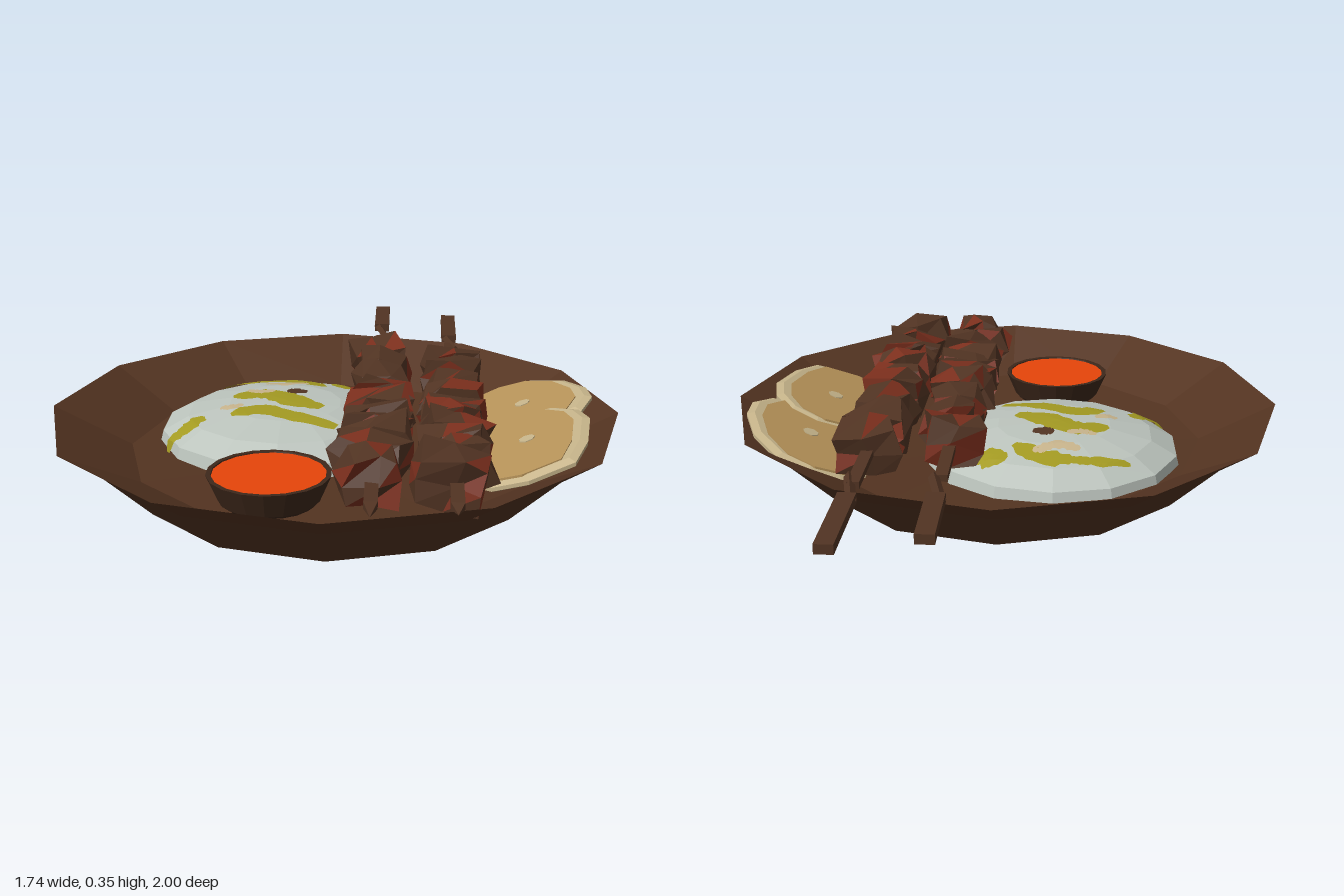
import * as THREE from 'three';

const mat = (name, color, extra = {}) =>
  Object.assign(new THREE.MeshStandardMaterial({ color, flatShading: true, ...extra }), { name });

// small seeded random
function makeRandom(seed) {
  return () => {
    seed = (seed * 16807) % 2147483647;
    return seed / 2147483647;
  };
}

export function createModel() {
  const M = {
    dish: mat('dish brown', 0x543421),
    cup: mat('cup dark brown', 0x3e281b),
    sauce: mat('sauce orange', 0xff4d0c),
    rice: mat('rice white', 0xbcc4bd),
    herb: mat('herb olive', 0xa39a22, { side: THREE.DoubleSide }),
    tan: mat('toasted tan', 0xc8b48c, { side: THREE.DoubleSide }),
    bread: mat('bread tan', 0xb8945a),
    crust: mat('crust cream', 0xc6b48a),
    meat: mat('meat brown', 0x523423, { side: THREE.DoubleSide }),
    glaze: mat('glaze red', 0x7c2f1d),
  };
  const root = new THREE.Group();
  root.name = 'plateOfSkewers';
  const add = (parent, name, geometry, material, x = 0, y = 0, z = 0) => {
    const mesh = new THREE.Mesh(geometry, material);
    mesh.name = name;
    mesh.position.set(x, y, z);
    parent.add(mesh);
    return mesh;
  };
  const lathe = (points, sides) =>
    new THREE.LatheGeometry(points.map(([r, y]) => new THREE.Vector2(r, y)), sides);

  // twelve-sided dish, outside then inside
  add(root, 'dish', lathe([[0, 0], [0.6, 0], [0.755, 0.15], [0.87, 0.23],
    [0.63, 0.107], [0, 0.075]], 12), M.dish, 0, 0, 0.115);

  // sauce cup
  add(root, 'sauceCup', lathe([[0, 0.07], [0.09, 0.07], [0.145, 0.115], [0.177, 0.19],
    [0.163, 0.19], [0.155, 0.165]], 18), M.cup, -0.163, 0, 0.545);
  add(root, 'sauce', new THREE.CylinderGeometry(0.164, 0.155, 0.015, 18), M.sauce, -0.163, 0.179, 0.545);

  // rice mound
  const moundX = -0.16, moundZ = -0.025;
  const mound = [[0.4, 0.095], [0.39, 0.135], [0.31, 0.177], [0.18, 0.204], [0, 0.214]];
  add(root, 'mound', lathe(mound, 14), M.rice, moundX, 0, moundZ);
  const moundHeight = (x, z) => {
    const r = Math.hypot(x - moundX, z - moundZ);
    for (let i = 0; i < mound.length - 1; i++) {
      const [r0, y0] = mound[i], [r1, y1] = mound[i + 1];
      if (r <= r0 && r >= r1) return y0 + ((y1 - y0) * (r - r0)) / (r1 - r0);
    }
    return mound[0][1];
  };

  // garnish streaks: ragged ribbons laid over the mound
  const streak = (name, material, width, path, seed) => {
    const rnd = makeRandom(seed * 977 + 13);
    const curve = new THREE.CatmullRomCurve3(path.map(([x, z]) => new THREE.Vector3(x, 0, z)));
    const n = 14, across = 3, pos = [], index = [];
    for (let i = 0; i <= n; i++) {
      const t = i / n, p = curve.getPoint(t), d = curve.getTangent(t);
      const w = width * (0.35 + 0.65 * Math.sqrt(Math.sin(Math.PI * t) + 1e-6)) * (0.7 + 0.5 * rnd());
      for (let j = 0; j <= across; j++) {
        const s = (j / across - 0.5) * w;
        const x = p.x - d.z * s, z = p.z + d.x * s;
        pos.push(x, moundHeight(x, z) + 0.004, z);
        if (i < n && j < across) {
          const a = i * (across + 1) + j, b = a + across + 1;
          index.push(a, a + 1, b, a + 1, b + 1, b);
        }
      }
    }
    const g = new THREE.BufferGeometry();
    g.setAttribute('position', new THREE.Float32BufferAttribute(pos, 3));
    g.setIndex(index);
    g.computeVertexNormals();
    add(root, name, g, material);
  };
  [
    [0.05, [[-0.39, -0.27], [-0.27, -0.29], [-0.2, -0.29]]],
    [0.08, [[-0.22, -0.29], [-0.13, -0.28], [-0.04, -0.2]]],
    [0.09, [[-0.02, -0.28], [0.03, -0.26], [0.08, -0.25]]],
    [0.1, [[-0.33, -0.06], [-0.22, -0.08], [-0.13, -0.01], [-0.04, 0.04]]],
    [0.09, [[-0.32, 0.1], [-0.23, 0.07], [-0.13, 0.12], [0.01, 0.17]]],
    [0.07, [[-0.51, 0.17], [-0.45, 0.13], [-0.41, 0.08]]],
  ].forEach(([w, path], i) => streak('herbStreak', M.herb, w, path, i + 1));
  [
    [0.05, [[-0.24, -0.23], [-0.17, -0.21], [-0.1, -0.25]]],
    [0.04, [[-0.29, -0.13], [-0.25, -0.11], [-0.2, -0.12]]],
    [0.04, [[-0.36, 0.03], [-0.33, 0.04], [-0.29, 0.02]]],
  ].forEach(([w, path], i) => streak('toastedFleck', M.tan, w, path, i + 20));
  streak('darkFleck', M.meat, 0.06, [[-0.16, -0.12], [-0.13, -0.115], [-0.095, -0.11]], 31);

  // flatbread slices leaning steeply on the dish wall
  const slab = (points, depth, bevel, rule) => {
    const shape = new THREE.Shape(points.map(([x, z]) => new THREE.Vector2(x, z)));
    const g = new THREE.ExtrudeGeometry(shape, {
      depth, bevelEnabled: bevel > 0, bevelSize: bevel, bevelThickness: bevel * 0.5,
      bevelOffset: -bevel, bevelSegments: 1,
    });
    g.rotateX(Math.PI / 2);
    const p = g.attributes.position;
    for (let i = 0; i < p.count; i++) p.setY(i, p.getY(i) + rule(p.getX(i)));
    g.computeVertexNormals();
    return g;
  };
  const slice = (outline, [cx, cz], [sx, sz], lift) => {
    const rule = (x) => lift + 0.37 * (x - 0.75);
    const face = outline.map(([x, z]) => [cx + (x - cx) * 0.85, cz + (z - cz) * 0.91]);
    add(root, 'breadCrust', slab(outline, 0.012, 0.024, rule), M.crust);
    add(root, 'breadFace', slab(face, 0.007, 0, (x) => rule(x) + 0.016), M.bread);
    const spot = [0, 1, 2, 3, 4, 5, 6].map((k) =>
      [sx + 0.024 * Math.cos(k * 0.9), sz + 0.024 * Math.sin(k * 0.9)]);
    add(root, 'breadSpot', slab(spot, 0.004, 0, (x) => rule(x) + 0.019), M.crust);
  };
  slice([[0.4, -0.26], [0.47, -0.32], [0.56, -0.345], [0.66, -0.32], [0.75, -0.22], [0.8, -0.09],
    [0.805, 0.01], [0.76, 0.1], [0.6, 0.12], [0.42, 0.08]], [0.47, -0.11], [0.6, -0.095], 0.226);
  slice([[0.39, 0.1], [0.48, 0.03], [0.6, 0], [0.69, 0.03], [0.75, 0.11], [0.77, 0.21], [0.74, 0.38],
    [0.69, 0.5], [0.56, 0.525], [0.46, 0.49], [0.39, 0.38]], [0.44, 0.26], [0.58, 0.25], 0.237);

  // meat chunk: a rough bulging box whose triangles are brown or glazed
  const chunkGeometry = (w, h, d, rnd) => {
    const g = new THREE.BoxGeometry(w, h, d, 2, 2, 1).toNonIndexed();
    const p = g.attributes.position, jitter = {};
    for (let i = 0; i < p.count; i++) {
      const [x, y, z] = [p.getX(i), p.getY(i), p.getZ(i)];
      const key = [x, y, z].map((v) => Math.sign(Math.round(v * 1000))).join();
      jitter[key] ??= [rnd() - 0.5, rnd() - 0.5, rnd() - 0.5];
      const [a, b, c] = jitter[key];
      const pull = Math.abs(x) > 0.01 && Math.abs(y) > 0.01 ? 0.9 : 1.04;
      p.setXYZ(i, x * pull + a * 0.042, y * pull + b * 0.035, z + c * 0.035);
    }
    g.computeVertexNormals();
    g.clearGroups();
    for (let i = 0; i < p.count; i += 3) g.addGroup(i, 3, rnd() < 0.27 ? 1 : 0);
    return g;
  };

  // skewers: tip, stick, twisted neck, paddle handle and chunks
  const skewer = (x, y, yaw, pitch, neckZ, tipZ, seed) => {
    const rnd = makeRandom(seed);
    const group = new THREE.Group();
    group.name = 'skewer';
    group.position.set(x, y, 0);
    group.rotation.set(pitch, yaw, 0);
    root.add(group);
    add(group, 'stick', new THREE.BoxGeometry(0.036, 0.02, 1.53), M.meat, 0, 0, 0.155);
    const tip = new THREE.ConeGeometry(0.0255, tipZ - 0.92, 4).rotateY(Math.PI / 4)
      .rotateX(Math.PI / 2).scale(1, 0.56, 1);
    add(group, 'tip', tip, M.meat, 0, 0, (tipZ + 0.92) / 2);
    const neck = add(group, 'neck', new THREE.BoxGeometry(0.02, 0.024, 0.17), M.meat, 0.004, 0, neckZ + 0.06);
    neck.rotation.set(0, 0.22, 0.7);
    const length = 1 + neckZ;
    add(group, 'handle', new THREE.BoxGeometry(0.052, 0.028, length), M.meat, 0, 0.002, -1 + length / 2);
    const cuts = [-0.385, -0.235, -0.115, 0.06, 0.165, 0.275, 0.36, 0.445, 0.56, 0.655, 0.795];
    for (let i = 0; i < cuts.length - 1; i++) {
      const d = cuts[i + 1] - cuts[i];
      const chunk = add(group, 'meatChunk',
        chunkGeometry(0.155 + 0.035 * rnd(), 0.115 + 0.02 * rnd(), d - 0.006, rnd),
        [M.meat, M.glaze], (rnd() - 0.5) * 0.025, 0, (cuts[i] + cuts[i + 1]) / 2);
      chunk.rotation.set((rnd() - 0.5) * 0.15, (rnd() - 0.5) * 0.3, (rnd() - 0.5) * 0.5);
    }
  };
  skewer(0.135, 0.256, -0.0125, 0.002, -0.74, 0.995, 4211);
  skewer(0.368, 0.241, -0.03, -0.016, -0.69, 0.98, 90533);

  return root;
}
